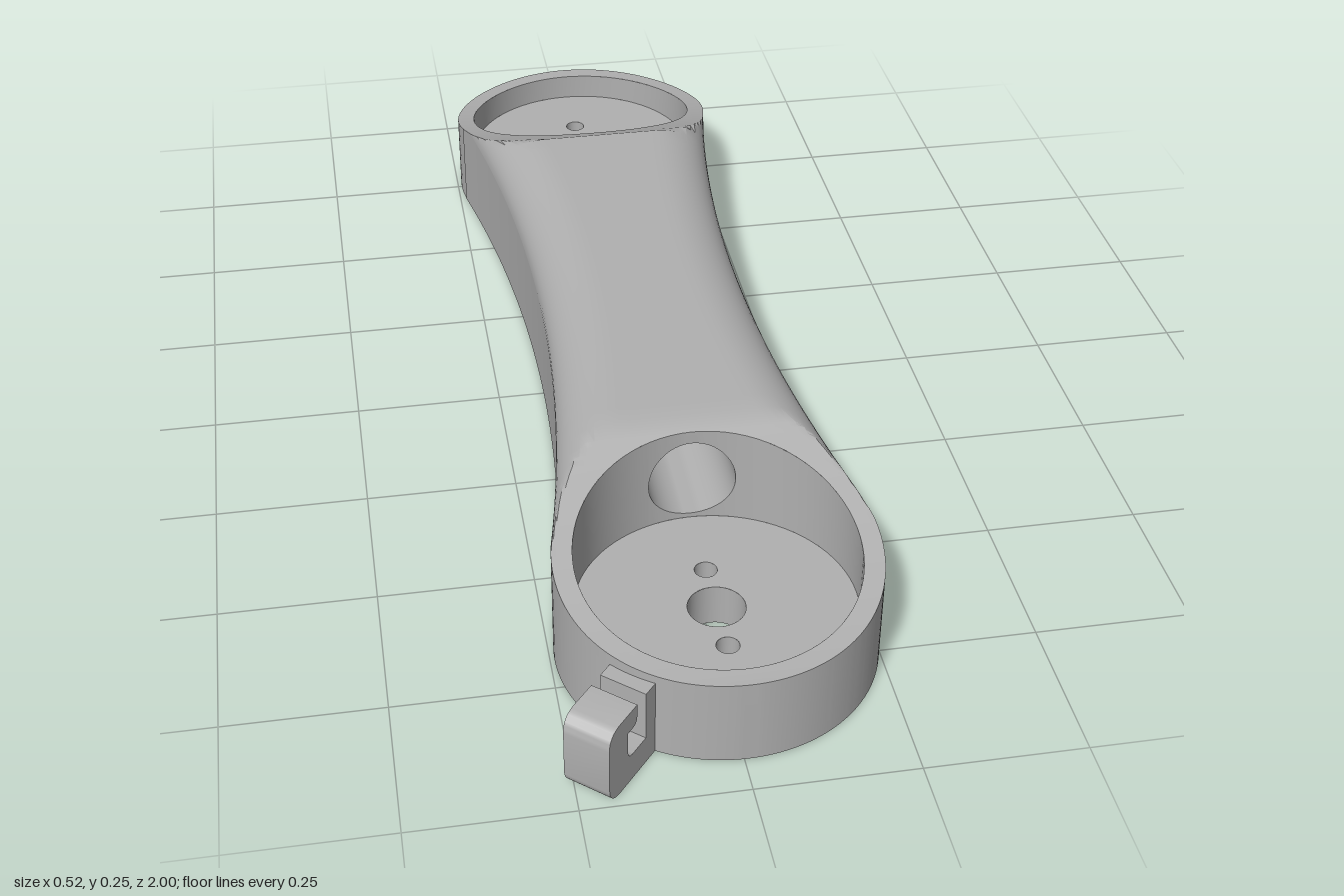
import * as THREE from 'three';
import { mergeGeometries, toCreasedNormals } from 'three/addons/utils/BufferGeometryUtils.js';

const CX = 0.007;                     // arm centre line in x
const ZF = 0.69, ZB = -0.75, ZM = (ZF + ZB) / 2;
const RO = 0.25, RP = 0.218;          // outer and pocket radii of the ends
const WAIST = 0.177, RW = 3.3;        // waist half width and radius of the concave sides
const TOP = 0.253, FA = 0.1, FB = 0.075; // top height, edge rounding across and down
const FLOOR = 0.072, TY = 0.15, TR = 0.07; // pocket floor, tunnel height and radius

// Half width of the concave sides, and of the whole outline
const sideWidth = z => RW + WAIST - Math.sqrt(RW * RW - (z - ZM) ** 2);
const chord = (z, zc, r) => Math.sqrt(Math.max(0, r * r - (z - zc) ** 2));
const TANGENT = (ZF - ZM) * RO / (RW + RO);
function halfWidth(z) {
  if (z > ZF - TANGENT) return chord(z, ZF, RO);
  if (z < ZB + TANGENT) return chord(z, ZB, RO);
  return sideWidth(z);
}
const pocketWidth = z => Math.max(chord(z, ZF, RP), chord(z, ZB, RP));

// Top height: rounded long edges, scooped down towards both ends
function topY(x, z) {
  const e = Math.min(1, Math.max(0, (Math.abs(x) - sideWidth(z) + FA) / FA));
  let y = TOP - FB + FB * Math.sqrt(1 - e * e);
  if (z > 0) y = Math.min(y, 0.145 + 0.108 * Math.pow(Math.max(0, 0.94 - z) / 0.5, 1.6));
  else y = Math.min(y, 0.12 + 0.133 * (Math.max(0, z + 1) / 0.53) ** 2);
  return y;
}

// Grid surface from a rule (i, j) -> [x, y, z]
function grid(ni, nj, fn) {
  const pos = [], idx = [];
  for (let i = 0; i <= ni; i++) for (let j = 0; j <= nj; j++) pos.push(...fn(i, j));
  for (let i = 0; i < ni; i++) for (let j = 0; j < nj; j++) {
    const a = i * (nj + 1) + j, b = a + nj + 1;
    idx.push(a, b, a + 1, b, b + 1, a + 1);
  }
  const g = new THREE.BufferGeometry();
  g.setAttribute('position', new THREE.Float32BufferAttribute(pos, 3));
  g.setIndex(idx);
  return g;
}

// Stations along z, dense where the circles turn
function stations() {
  const zs = [0.44, -0.47];
  for (let k = 0; k <= 40; k++) {
    const c = Math.cos(Math.PI * k / 40);
    for (const zc of [ZF, ZB]) zs.push(zc + RP * c);
    const half = Math.cos(Math.PI / 2 * k / 40);
    zs.push(ZF + RO * half, ZB - RO * half, 0.64 - 1.34 * k / 40);
  }
  zs.sort((a, b) => b - a);
  return zs.filter((z, i) => i === 0 || zs[i - 1] - z > 1e-5);
}

export function createModel() {
  const root = new THREE.Group();
  const grey = new THREE.MeshStandardMaterial({ color: 0xb0b0b0, side: THREE.DoubleSide });
  grey.name = 'plainGrey';
  const add = (name, geo, parent = root) => {
    const m = new THREE.Mesh(geo, grey);
    m.name = name;
    parent.add(m);
    return m;
  };
  const smooth = (geos, angle = 0.4) => toCreasedNormals(mergeGeometries(geos), angle);
  const body = new THREE.Group();
  body.name = 'arm';
  body.position.x = CX;
  root.add(body);

  // Top skin and outer side walls, mirrored left and right
  const zs = stations(), n = zs.length - 1;
  const tops = [], sides = [];
  for (const s of [1, -1]) {
    tops.push(grid(n, 18, (i, j) => {
      const k = s > 0 ? j : 18 - j, z = zs[i];
      const inner = pocketWidth(z), w = halfWidth(z);
      const flat = Math.max(inner, w - FA);
      const x = k <= 6 ? inner + (flat - inner) * k / 6
        : flat + (w - flat) * Math.sin((k - 6) / 12 * Math.PI / 2);
      return [s * x, topY(x, z), z];
    }));
    sides.push(grid(n, 1, (i, j) => {
      const w = halfWidth(zs[i]);
      return [s * w, (s > 0 ? j === 0 : j === 1) ? topY(w, zs[i]) : 0, zs[i]];
    }));
  }
  add('armTop', smooth(tops), body);
  add('armSides', smooth(sides), body);

  // Bolt holes of each end: [z offset, radius]
  const holes = [[0, 0.045], [0.087, 0.018], [-0.087, 0.018]];
  const circle = (z, r) => new THREE.Path().absarc(0, z, r, 0, Math.PI * 2, true);

  // Underside
  const outline = [...zs.map(z => new THREE.Vector2(halfWidth(z), z)),
    ...zs.slice(1, -1).reverse().map(z => new THREE.Vector2(-halfWidth(z), z))];
  const under = new THREE.Shape(outline);
  for (const zc of [ZF, ZB]) for (const [dz, r] of holes) under.holes.push(circle(zc + dz, r));
  add('underside', new THREE.ShapeGeometry(under, 32).rotateX(Math.PI / 2), body);

  // Round pockets with floors and bolt holes
  for (const [zc, dir, label] of [[ZF, -1, 'front'], [ZB, 1, 'back']]) {
    const floor = new THREE.Shape().absarc(0, 0, RP, 0, Math.PI * 2, false);
    for (const [dz, r] of holes) floor.holes.push(circle(dz, r));
    add(label + 'PocketFloor', new THREE.ShapeGeometry(floor, 48).rotateX(-Math.PI / 2)
      .translate(0, FLOOR, zc), body);
    for (const [dz, r] of holes) {
      add(label + 'BoltHole', new THREE.CylinderGeometry(r, r, FLOOR, 32, 1, true)
        .translate(0, FLOOR / 2, zc + dz), body);
    }
    // Wall: a plain stretch, then strips below and above the tunnel mouth
    const edge = Math.asin(TR / RP);
    const at = (a, y) => {
      const x = RP * Math.sin(a), z = zc + dir * RP * Math.cos(a);
      return [x, y === undefined ? topY(x, z) : y, z];
    };
    const mouth = i => {
      const x = -TR * Math.cos(Math.PI * i / 24);
      return [Math.asin(x / RP), Math.sqrt(Math.max(0, TR * TR - x * x))];
    };
    add(label + 'PocketWall', smooth([
      grid(72, 1, (i, j) => at(edge + (2 * Math.PI - 2 * edge) * i / 72, j ? undefined : FLOOR)),
      grid(24, 1, (i, j) => { const [a, h] = mouth(i); return at(a, j ? TY - h : FLOOR); }),
      grid(24, 1, (i, j) => { const [a, h] = mouth(i); return at(a, j ? undefined : TY + h); }),
    ]), body);
  }

  // Tunnel joining the two pockets
  add('tunnel', smooth([grid(48, 1, (i, j) => {
    const a = Math.PI * 2 * i / 48, x = TR * Math.cos(a), c = Math.sqrt(RP * RP - x * x);
    return [x, TY + TR * Math.sin(a), j ? ZF - c : ZB + c];
  })]), body);

  // Small cable hook standing out from the front end
  const p = new THREE.Shape();
  p.moveTo(0.24, 0);
  p.lineTo(0.342, 0);
  p.quadraticCurveTo(0.372, 0, 0.372, 0.03);
  p.lineTo(0.372, 0.103);
  p.quadraticCurveTo(0.372, 0.133, 0.342, 0.133);
  p.lineTo(0.297, 0.133);
  p.lineTo(0.297, 0.112);
  p.quadraticCurveTo(0.297, 0.098, 0.31, 0.098);
  p.lineTo(0.322, 0.098);
  p.lineTo(0.322, 0.062);
  p.quadraticCurveTo(0.322, 0.048, 0.308, 0.048);
  p.lineTo(0.273, 0.048);
  p.lineTo(0.273, 0.133);
  p.lineTo(0.24, 0.133);
  const hookGeo = new THREE.ExtrudeGeometry(p, { depth: 0.076, bevelEnabled: false, curveSegments: 8 });
  hookGeo.translate(0, 0, -0.038);
  const hook = add('cableHook', toCreasedNormals(hookGeo, 0.5));
  hook.rotation.y = Math.atan2(-0.76, -0.65);
  hook.position.set(CX, 0, ZF);

  return root;
}
